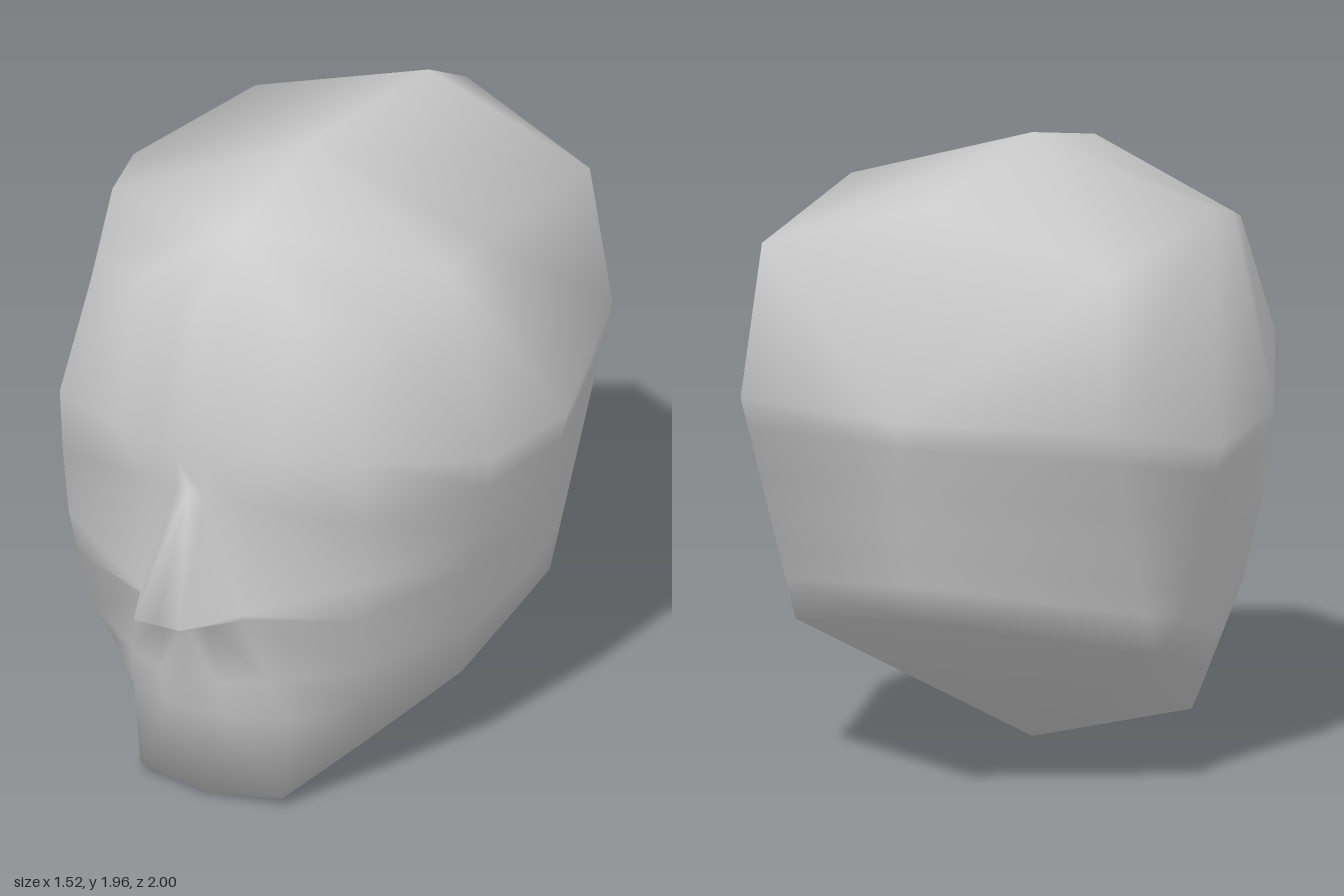
import * as THREE from 'three';
import { mergeVertices } from 'three/addons/utils/BufferGeometryUtils.js';

const lerp = (p, q, t) => p.map((v, i) => v + (q[i] - v) * t);

// Half cross-sections of the head, each running from front centre to back centre
function headRows() {
  const front = [0, 1.86, 0.48], peak = [0, 1.96, 0.02], back = [0, 1.88, -0.73];
  const top = [front, front, front, front, peak, peak, back, back];
  const forehead = [[0, 1.7, 0.74], [0.08, 1.7, 0.71], [0.28, 1.68, 0.61], [0.5, 1.65, 0.47],
    [0.6, 1.73, 0.2], [0.62, 1.77, 0.03], [0.59, 1.7, -0.69], [0, 1.75, -0.97]];
  const brow = [[0, 1.24, 0.87], [0.08, 1.24, 0.84], [0.28, 1.25, 0.76], [0.53, 1.25, 0.66],
    [0.74, 1.12, 0.2], [0.76, 1.09, -0.24], [0.63, 1.22, -0.76], [0, 1.25, -1]];
  const jaw = [[0, 0, 0.68], [0.08, 0.01, 0.67], [0.25, 0.03, 0.65], [0.41, 0.16, 0.36],
    [0.56, 0.29, 0.07], [0.6, 0.4, -0.22], [0.61, 0.45, -0.4], [0, 0.59, -0.85]];
  // Face rows: the rest of the skull is blended between brow and jaw
  const face = [
    [0.13, [0, 1.1, 0.8], [0.05, 1.08, 0.78], [0.18, 1.06, 0.73], [0.53, 1.03, 0.64]], // eyes
    [0.35, [0, 0.72, 1], [0.08, 0.72, 1], [0.18, 0.7, 0.775], [0.52, 0.82, 0.62]], // nose tip
    [0.5, [0, 0.65, 0.82], [0.07, 0.66, 0.805], [0.18, 0.68, 0.77], [0.5, 0.68, 0.6]], // nose base
    [0.68, [0, 0.46, 0.82], [0.1, 0.46, 0.8], [0.24, 0.46, 0.72], [0.47, 0.48, 0.55]], // lips
    [0.82, [0, 0.32, 0.75], [0.11, 0.32, 0.74], [0.27, 0.31, 0.66], [0.44, 0.34, 0.48]], // chin
  ].map(([t, ...pts]) => [...pts, ...[4, 5, 6, 7].map((j) => lerp(brow[j], jaw[j], t))]);
  const underside = jaw.map(() => [0, 0.05, 0.02]);
  return [top, forehead, brow, ...face, jaw, underside];
}

// Skin the half rows, mirror them, and weld for smooth normals
function headGeometry() {
  const rows = headRows();
  const positions = [];
  const mirror = ([x, y, z]) => [-x, y, z];
  const triangle = (a, b, c) => {
    const keys = new Set([a, b, c].map(String));
    if (keys.size < 3) return;
    positions.push(...a, ...b, ...c, ...mirror(a), ...mirror(c), ...mirror(b));
  };
  for (let i = 0; i < rows.length - 1; i++) {
    for (let j = 0; j < rows[i].length - 1; j++) {
      const a = rows[i][j], b = rows[i + 1][j], c = rows[i + 1][j + 1], d = rows[i][j + 1];
      triangle(a, b, c);
      triangle(a, c, d);
    }
  }
  const soup = new THREE.BufferGeometry();
  soup.setAttribute('position', new THREE.Float32BufferAttribute(positions.map((v) => v + 0), 3));
  const geometry = mergeVertices(soup, 1e-4);
  geometry.computeVertexNormals();
  return geometry;
}

export function createModel() {
  const grey = new THREE.MeshStandardMaterial({ color: 0xcccccc });
  grey.name = 'light grey';
  const head = new THREE.Mesh(headGeometry(), grey);
  head.name = 'head';
  const group = new THREE.Group();
  group.name = 'headModel';
  group.add(head);
  return group;
}
